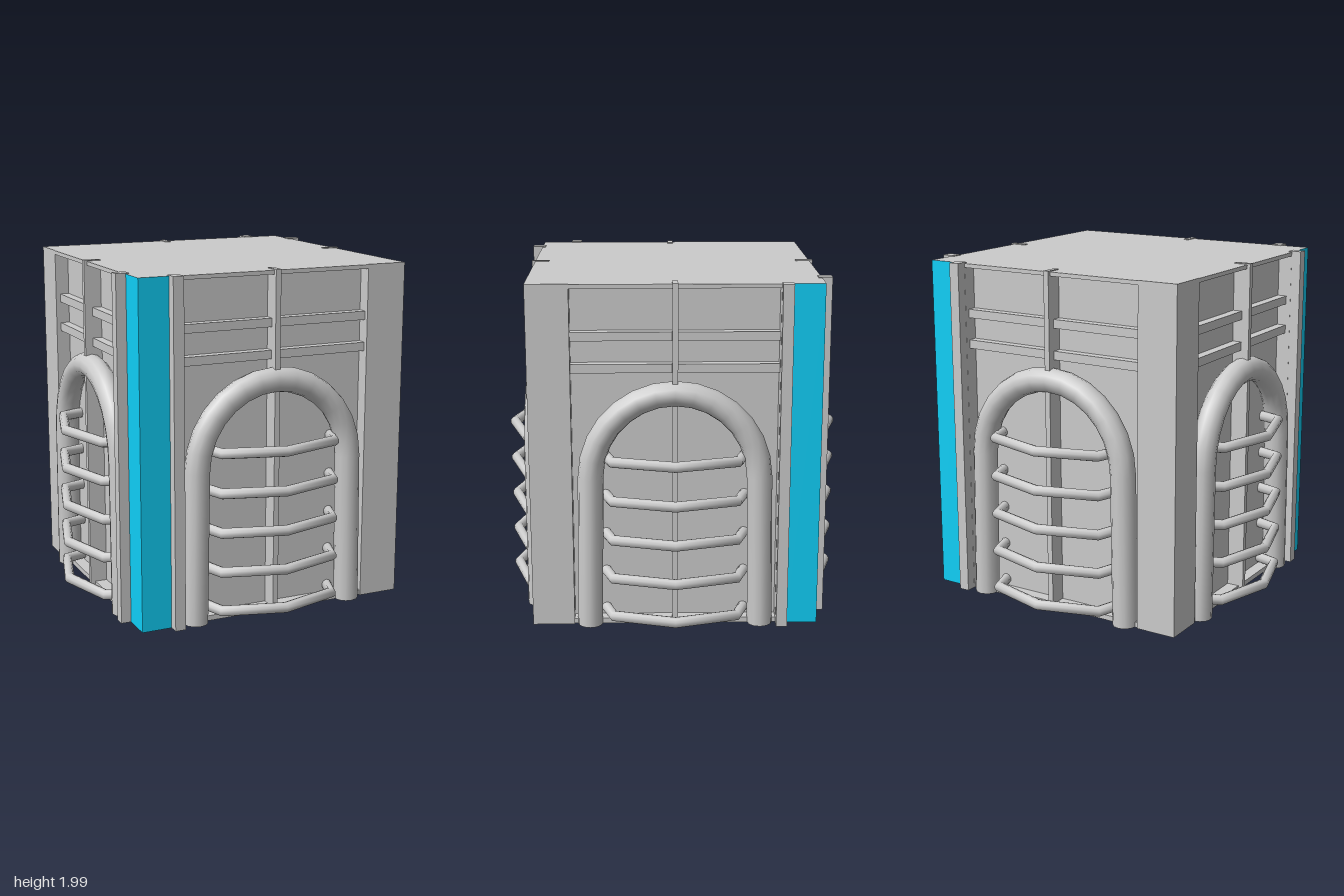
import * as THREE from 'three';

const grey = new THREE.MeshStandardMaterial({ color: 0xcccccc, side: THREE.DoubleSide });
const cyan = new THREE.MeshStandardMaterial({ color: 0x10d0f8, side: THREE.DoubleSide });

const HALF = 0.817;   // outer wall plane
const PANEL = 0.735;  // recessed panel plane
const OPEN = 0.578;   // half width of the recess
const TRIM = 0.64;    // inner edge of the coloured corner
const H = 1.98;

// Curve that passes straight from point to point, one tube segment per span
class Polyline extends THREE.Curve {
  constructor(points) {
    super();
    this.points = points;
  }
  getPointAt(u, target = new THREE.Vector3()) {
    return target.copy(this.points[Math.round(u * (this.points.length - 1))]);
  }
  getPoint(u, target) {
    return this.getPointAt(u, target);
  }
  getTangentAt(u, target = new THREE.Vector3()) {
    const p = this.points, i = Math.round(u * (p.length - 1));
    const dir = (a, b) => p[b].clone().sub(p[a]).normalize();
    target.set(0, 0, 0);
    if (i > 0) target.add(dir(i - 1, i));
    if (i < p.length - 1) target.add(dir(i, i + 1));
    return target.normalize();
  }
}

function add(parent, name, geometry, x = 0, y = 0, z = 0, material = grey) {
  const mesh = new THREE.Mesh(geometry, material);
  mesh.name = name;
  mesh.position.set(x, y, z);
  parent.add(mesh);
  return mesh;
}

// Box given by its limits on each axis
function box(parent, name, x0, x1, y0, y1, z0, z1) {
  return add(parent, name, new THREE.BoxGeometry(x1 - x0, y1 - y0, z1 - z0),
    (x0 + x1) / 2, (y0 + y1) / 2, (z0 + z1) / 2);
}

// Upright sheet facing +z
function sheet(parent, name, x0, x1, z, material) {
  const a = Math.min(x0, x1), b = Math.max(x0, x1);
  return add(parent, name, new THREE.PlaneGeometry(b - a, H), (a + b) / 2, H / 2, z, material);
}

function tube(parent, name, points, radius, sides) {
  const curve = new Polyline(points);
  return add(parent, name, new THREE.TubeGeometry(curve, points.length - 1, radius, sides, false));
}

function archPoints() {
  const points = [new THREE.Vector3(-0.488, 0, 0.8)];
  const n = 14;
  for (let i = 0; i <= n; i++) {
    const a = Math.PI * (1 - i / n);
    points.push(new THREE.Vector3(0.475 * Math.cos(a), 0.88 + 0.485 * Math.sin(a), 0.8));
  }
  points.push(new THREE.Vector3(0.488, 0, 0.8));
  return points;
}

const rungPlan = [[-0.43, 0.62], [-0.35, 0.865], [0, 0.965], [0.35, 0.865], [0.43, 0.62]];

// One wall; trimSide is the end that carries the coloured corner
function createWall(trimSide) {
  const wall = new THREE.Group();

  // Corner posts and the sides of the recess
  for (const s of [-1, 1]) {
    const coloured = s === trimSide;
    sheet(wall, 'cornerPost', s * OPEN, s * (coloured ? TRIM : HALF), HALF);
    if (coloured) sheet(wall, 'colouredCorner', s * TRIM, s * HALF, HALF, cyan);
    const side = add(wall, 'recessSide', new THREE.PlaneGeometry(HALF - PANEL, H),
      s * OPEN, H / 2, (HALF + PANEL) / 2);
    side.rotation.y = -s * Math.PI / 2;
  }

  // Recessed panel with its frame, bars and centre rib
  sheet(wall, 'recessedPanel', -OPEN, OPEN, PANEL);
  box(wall, 'lintel', -OPEN, OPEN, 1.955, H - 0.002, PANEL, HALF);
  box(wall, 'sill', -OPEN, OPEN, 0, 0.03, PANEL, HALF - 0.01);
  for (const y of [1.48, 1.66]) box(wall, 'crossBar', -OPEN, OPEN, y, y + 0.05, PANEL, 0.79);
  box(wall, 'centreRib', -0.016, 0.016, 0, H + 0.005, PANEL, 0.836);

  // Projecting strip beside the coloured corner
  const c = trimSide * 0.61;
  box(wall, 'edgeStrip', c - 0.031, c + 0.031, 0, H + 0.005, HALF - 0.02, 0.875);

  // Arch and bowed rungs
  tube(wall, 'arch', archPoints(), 0.072, 12);
  for (let i = 0; i < 5; i++) {
    const y = 0.07 + i * 0.23;
    tube(wall, 'rung', rungPlan.map(([x, z]) => new THREE.Vector3(x, y, z)), 0.031, 10);
  }
  return wall;
}

export function createModel() {
  const model = new THREE.Group();
  model.name = 'archedTower';

  const names = ['frontWall', 'leftWall', 'backWall', 'rightWall'];
  names.forEach((name, k) => {
    const wall = createWall(k % 2 ? 1 : -1);
    wall.name = name;
    wall.rotation.y = k * Math.PI / 2;
    model.add(wall);
  });

  // Flat roof closing the hollow shell
  const roof = add(model, 'roof', new THREE.PlaneGeometry(2 * HALF, 2 * HALF), 0, H, 0);
  roof.rotation.x = -Math.PI / 2;

  return model;
}
